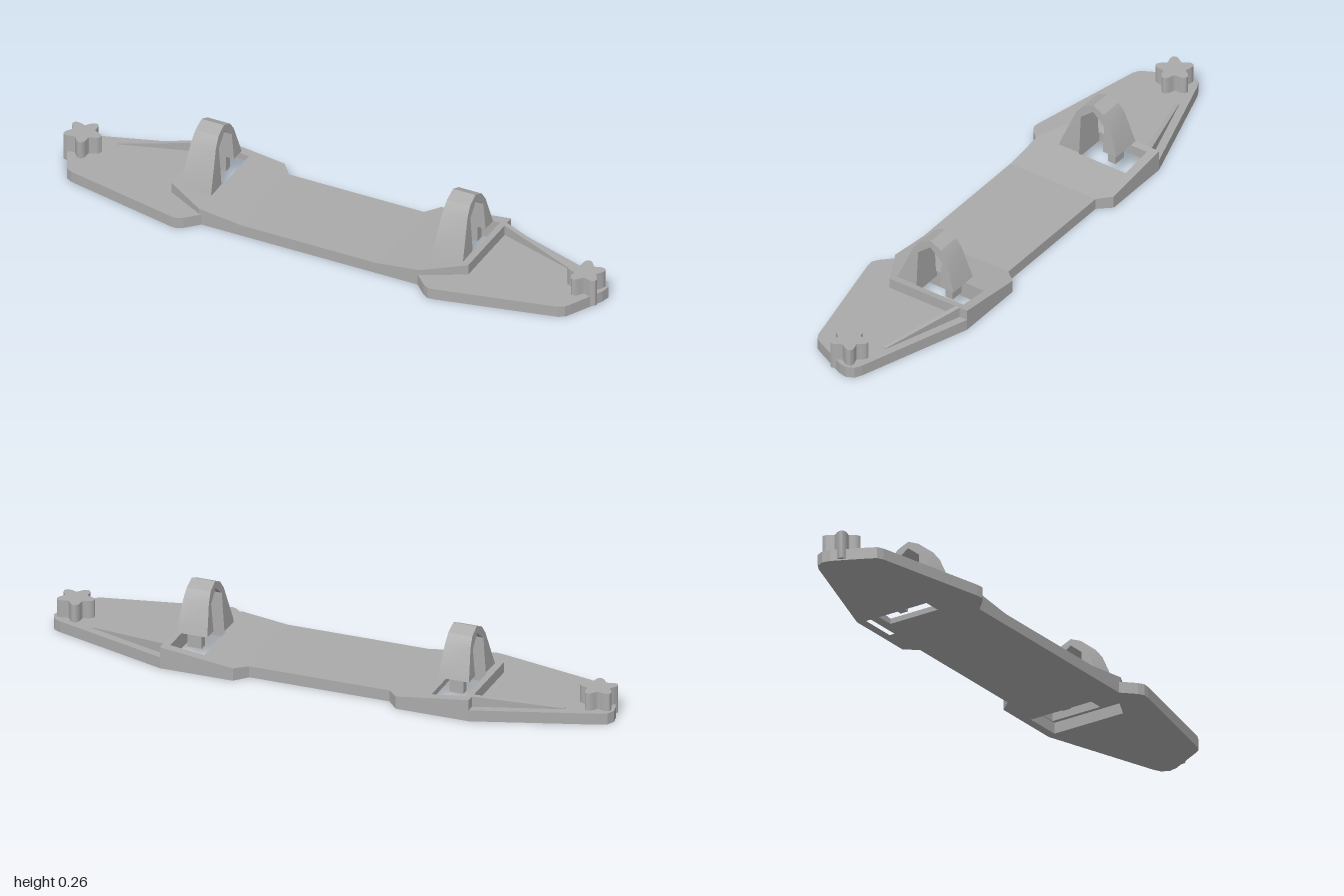
import * as THREE from 'three';
import { toCreasedNormals } from 'three/addons/utils/BufferGeometryUtils.js';

const grey = new THREE.MeshStandardMaterial({ color: 0xaaaaaa });
grey.name = 'grey';

// Closed loop of [x, z] plan points
const loop = (pts, Type = THREE.Shape) =>
  new Type(pts.map(([x, z]) => new THREE.Vector2(x, -z)));

// Plan outline pushed up from y0 to y1; topAt(x) may bend the top face
function slab(pts, holes, y0, y1, topAt) {
  const shape = loop(pts);
  holes.forEach((h) => shape.holes.push(loop(h, THREE.Path)));
  const g = new THREE.ExtrudeGeometry(shape, { depth: y1 - y0, bevelEnabled: false });
  g.rotateX(-Math.PI / 2).translate(0, y0, 0);
  if (topAt) {
    const p = g.attributes.position;
    for (let i = 0; i < p.count; i++) {
      if (p.getY(i) > (y0 + y1) / 2) p.setY(i, topAt(Math.abs(p.getX(i))));
    }
    g.computeVertexNormals();
  }
  return g;
}

const flip = (pts, s) => pts.map(([x, z]) => [x * s, z]);

const T = 0.04; // plate thickness

// Right half of the plate outline, back to front
const half = [
  [0.25, -0.18], [0.29, -0.225], [0.55, -0.225], [0.96, -0.09], [0.985, -0.077],
  [0.998, -0.05], [0.992, -0.02], [0.935, 0.095], [0.922, 0.118], [0.9, 0.13],
  [0.49, 0.22], [0.465, 0.222], [0.445, 0.21], [0.4, 0.165],
];
// Pocket under each raised ramp, the ramp outline and its slot
const pocket = [[0.405, 0.15], [0.54, 0.083], [0.54, -0.195], [0.405, -0.195]];
const ramp = [
  [0.25, -0.18], [0.29, -0.225], [0.55, -0.225], [0.55, 0.09], [0.41, 0.165], [0.25, 0.165],
];
const slot = [[0.405, 0], [0.526, 0], [0.526, -0.192], [0.405, -0.192]];
const rib = [[0.55, -0.195], [0.84, -0.1], [0.84, -0.086], [0.55, -0.177]];

// Side profile of the pointed arch, as [z, y]
const archProfile = [
  [0.085, 0.045], [0.075, 0.077], [0.02, 0.21], [-0.005, 0.243], [-0.047, 0.262],
  [-0.09, 0.243], [-0.113, 0.21], [-0.15, 0.103], [-0.095, 0.103], [-0.095, 0.2],
  [-0.047, 0.238], [0, 0.2], [0, 0.045],
];

function archGeometry() {
  const w = 0.114;
  const shape = new THREE.Shape(archProfile.map(([z, y]) => new THREE.Vector2(-z, y)));
  const g = new THREE.ExtrudeGeometry(shape, { depth: w, bevelEnabled: false });
  g.rotateY(Math.PI / 2).translate(-w / 2, 0, 0);
  // Narrow towards the top
  const p = g.attributes.position;
  for (let i = 0; i < p.count; i++) {
    p.setX(i, p.getX(i) * (1 - 1.5 * Math.max(0, p.getY(i) - 0.077)));
  }
  g.computeVertexNormals();
  return toCreasedNormals(g, 0.3);
}

// Five-lobed knob, one lobe pointing inward
function knobPoints() {
  const pts = [];
  for (let i = 0; i < 60; i++) {
    const a = (i / 60) * Math.PI * 2;
    const r = 0.053 - 0.013 * Math.cos(5 * a);
    pts.push([0.931 + r * Math.cos(a), -0.018 + r * Math.sin(a)]);
  }
  return pts;
}

export function createModel() {
  const model = new THREE.Group();
  model.name = 'bracketPlate';
  const add = (parent, name, geometry) => {
    const mesh = new THREE.Mesh(geometry, grey);
    mesh.name = name;
    parent.add(mesh);
    return mesh;
  };

  // Flat base across the whole width
  const outline = [...half, ...flip(half, -1).reverse()];
  add(model, 'basePlate', slab(outline, [pocket, flip(pocket, -1)], 0, T));

  for (const s of [1, -1]) {
    const side = new THREE.Group();
    side.name = s > 0 ? 'leftSide' : 'rightSide';
    model.add(side);

    // Sloped raised section with a slot
    add(side, 'ramp', slab(flip(ramp, s), [flip(slot, s)], T, 0.077,
      (x) => T + ((x - 0.25) / 0.3) * 0.037));
    // Thin rib falling away towards the tip
    add(side, 'rib', slab(flip(rib, s), [], T - 0.002, 0.077,
      (x) => 0.077 - ((x - 0.55) / 0.29) * 0.034));
    // Arch and the small peg below its rear leg
    add(side, 'arch', archGeometry()).position.x = s * 0.466;
    add(side, 'archPeg', new THREE.BoxGeometry(0.05, 0.058, 0.03))
      .position.set(s * 0.466, 0.075, -0.11);
    // Lobed knob at the tip
    add(side, 'knob', toCreasedNormals(slab(flip(knobPoints(), s), [], 0.005, 0.103), 0.6));
  }
  return model;
}
